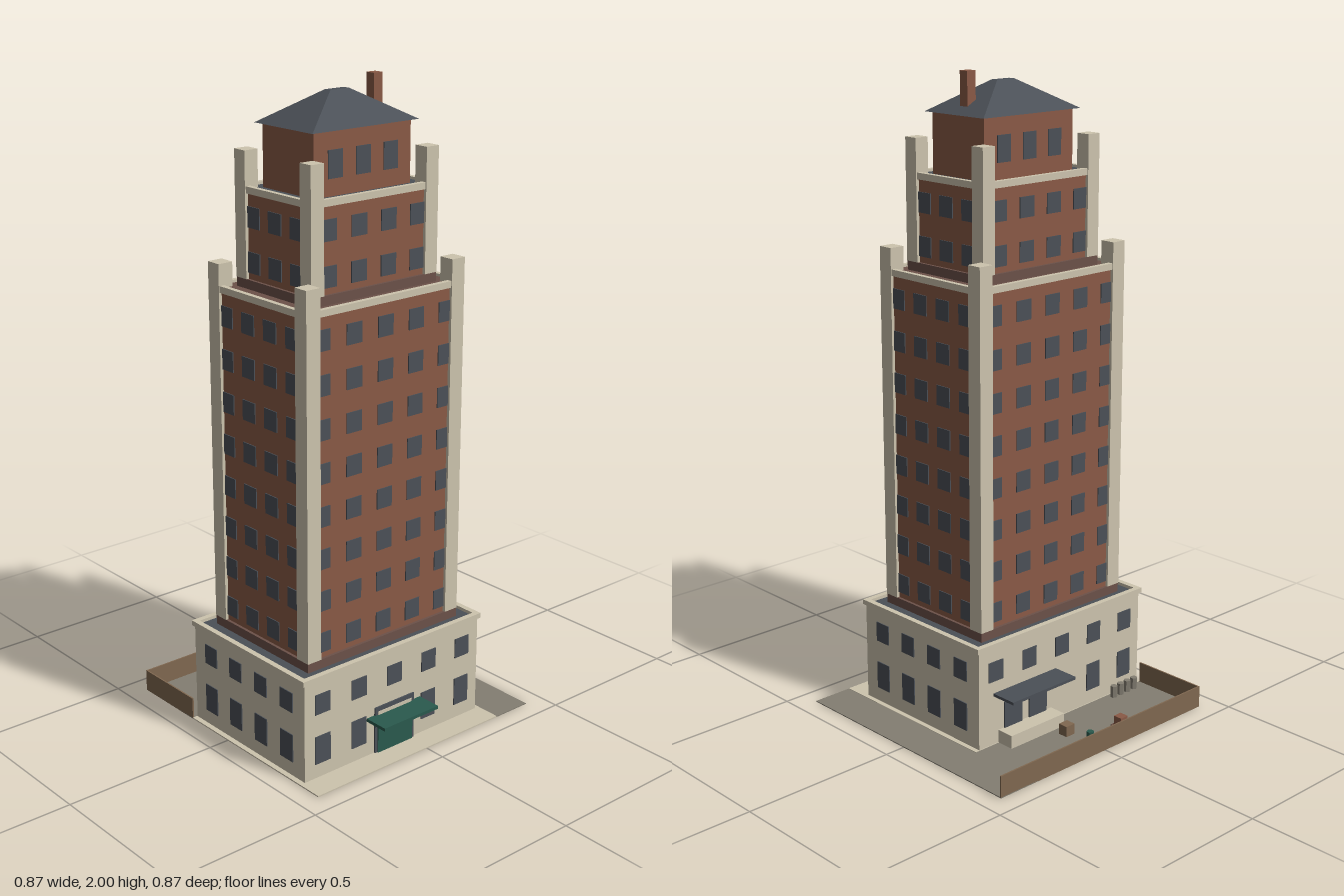
import * as THREE from 'three';

const mat = (name, color) => {
  const m = new THREE.MeshStandardMaterial({ color });
  m.name = name;
  return m;
};

export function createModel() {
  const brick = mat('brick', 0x8a5a46);
  const stone = mat('stone', 0xcdc4ae);
  const slate = mat('slate', 0x4b5057);
  const green = mat('green', 0x2a5a4e);
  const asphalt = mat('asphalt', 0x837e72);
  const wood = mat('wood', 0x806850);
  const darkBrick = mat('dark brick', 0x6c5149);

  const model = new THREE.Group();
  model.name = 'tower';
  const CX = -0.066, CZ = 0.087; // centre of the tower on the lot

  const add = (parent, name, geometry, material, x = 0, y = 0, z = 0) => {
    const m = new THREE.Mesh(geometry, material);
    m.name = name;
    m.position.set(x, y, z);
    parent.add(m);
    return m;
  };
  // box given by its minimum and maximum corners
  const span = (parent, name, material, x0, x1, y0, y1, z0, z1) =>
    add(parent, name, new THREE.BoxGeometry(x1 - x0, y1 - y0, z1 - z0), material,
      (x0 + x1) / 2, (y0 + y1) / 2, (z0 + z1) / 2);
  // box centred on the parent's axis, given by half widths
  const block = (parent, name, material, hx, hz, y0, y1) =>
    span(parent, name, material, -hx, hx, y0, y1, -hz, hz);
  const group = (name) => {
    const g = new THREE.Group();
    g.name = name;
    g.position.set(CX, 0, CZ);
    model.add(g);
    return g;
  };

  // rectangular stone ring around a roof edge
  const parapet = (parent, hx, hz, w, y0, y1) => {
    for (const s of [-1, 1]) {
      add(parent, 'parapet', new THREE.BoxGeometry(2 * hx, y1 - y0, w), stone, 0, (y0 + y1) / 2, s * (hz - w / 2));
      add(parent, 'parapet', new THREE.BoxGeometry(w, y1 - y0, 2 * (hz - w)), stone, s * (hx - w / 2), (y0 + y1) / 2, 0);
    }
  };
  // rows of window plates on one wall; side 0 front, 1 left, 2 back, 3 right
  const windows = (parent, side, dist, count, pitch, rows, w, h, skip = () => false) => {
    const wall = new THREE.Group();
    wall.name = 'windows';
    wall.rotation.y = side * Math.PI / 2;
    const pane = new THREE.BoxGeometry(w, h, 0.006);
    for (const y of rows)
      for (let i = 0; i < count; i++)
        if (!skip(i)) add(wall, 'window', pane, slate, (i - (count - 1) / 2) * pitch, y, dist);
    parent.add(wall);
  };

  // lot: yard, pavement and boundary wall
  span(model, 'yard', asphalt, 0.3, 0.433, 0, 0.003, -0.433, 0.433);
  span(model, 'yard', asphalt, -0.433, 0.3, 0, 0.003, -0.433, -0.18);
  span(model, 'pavement', stone, -0.433, 0.3, 0, 0.004, -0.18, 0.433);
  span(model, 'boundaryWall', wood, -0.433, 0.433, 0, 0.07, -0.433, -0.428);
  span(model, 'boundaryWall', wood, -0.433, -0.428, 0, 0.07, -0.428, -0.18);

  // stone base
  const base = group('base');
  const bx = 0.35, bz = 0.265;
  block(base, 'baseWalls', stone, bx, bz, 0.003, 0.322);
  block(base, 'baseRoof', slate, bx - 0.01, bz - 0.01, 0.32, 0.326);
  parapet(base, 0.358, 0.271, 0.018, 0.32, 0.336);
  for (const s of [0, 2]) {
    windows(base, s, bz, 5, 0.141, [0.244], 0.058, 0.064);
    windows(base, s, bz, 5, 0.141, [0.095], 0.058, 0.09, (i) => (s === 0 ? i === 2 : i < 3));
  }
  for (const s of [1, 3]) {
    windows(base, s, bx, 4, 0.122, [0.244], 0.058, 0.064);
    windows(base, s, bx, 4, 0.122, [0.095], 0.058, 0.09);
  }

  // front entrance
  const fz = CZ + bz;
  span(model, 'doorFrame', slate, CX - 0.079, CX + 0.079, 0.003, 0.155, fz, fz + 0.005);
  span(model, 'transom', stone, CX - 0.068, CX + 0.068, 0.13, 0.141, fz, fz + 0.007);
  span(model, 'door', green, CX - 0.07, CX + 0.07, 0.003, 0.128, fz, fz + 0.009);
  span(model, 'entranceCanopy', green, -0.175, 0.042, 0.12, 0.13, fz, 0.433);

  // loading dock at the back
  const rz = CZ - bz;
  span(model, 'dock', stone, -0.02, 0.205, 0.003, 0.045, -0.237, rz);
  span(model, 'dockCanopy', slate, -0.04, 0.225, 0.163, 0.172, -0.265, rz);
  for (const x of [0.04, 0.145])
    span(model, 'dockDoor', slate, x - 0.037, x + 0.037, 0.045, 0.13, rz - 0.005, rz);

  // yard clutter
  span(model, 'crate', wood, -0.005, 0.03, 0.003, 0.037, -0.297, -0.264);
  span(model, 'crate', darkBrick, -0.126, -0.082, 0.003, 0.037, -0.42, -0.377);
  span(model, 'crate', brick, -0.118, -0.088, 0.037, 0.067, -0.414, -0.384);
  span(model, 'crate', brick, -0.073, -0.036, 0.003, 0.037, -0.42, -0.385);
  const barrel = new THREE.CylinderGeometry(0.012, 0.012, 0.038, 6).toNonIndexed();
  barrel.computeVertexNormals();
  add(model, 'barrel', barrel, brick, -0.006, 0.022, -0.404);
  add(model, 'barrel', barrel, green, 0.002, 0.022, -0.371);
  for (let i = 0; i < 4; i++) add(model, 'bin', barrel, asphalt, -0.378 + i * 0.031, 0.022, -0.2);

  // brick tiers with stone corner piers
  const tier = (name, o) => {
    const g = group(name);
    const { hx, hz, pier } = o;
    const wx = hx - 0.01, wz = hz - 0.01;
    block(g, 'plinth', darkBrick, hx - 0.001, hz - 0.001, o.y0, o.y0 + 0.03);
    block(g, 'walls', brick, wx, wz, o.y0 + 0.03, o.y1 - 0.012);
    block(g, 'terrace', o.floor, wx - 0.004, wz - 0.004, o.y1 - 0.014, o.y1 - 0.008);
    parapet(g, hx - 0.003, hz - 0.003, 0.016, o.y1 - 0.02, o.y1);
    for (const sx of [-1, 1])
      for (const sz of [-1, 1])
        add(g, 'cornerPier', new THREE.BoxGeometry(pier, o.top - o.y0 - 0.03, pier), stone,
          sx * (hx - pier / 2), (o.top + o.y0 + 0.03) / 2, sz * (hz - pier / 2));
    for (const s of [0, 2]) windows(g, s, wz, o.nx, o.px, o.rows, 0.057, 0.062);
    for (const s of [1, 3]) windows(g, s, wx, o.nz, o.pz, o.rows, 0.057, 0.062);
  };
  tier('lowerTier', {
    hx: 0.3, hz: 0.222, pier: 0.05, y0: 0.325, y1: 1.41, top: 1.475, floor: darkBrick,
    nx: 5, px: 0.118, nz: 4, pz: 0.1, rows: Array.from({ length: 8 }, (_, i) => 0.404 + i * 0.131),
  });
  tier('upperTier', {
    hx: 0.238, hz: 0.169, pier: 0.047, y0: 1.4, y1: 1.7, top: 1.802, floor: slate,
    nx: 4, px: 0.111, nz: 3, pz: 0.097, rows: [1.48, 1.612],
  });

  // penthouse, hipped roof and chimney
  const pent = group('penthouse');
  block(pent, 'penthouseWalls', brick, 0.18, 0.112, 1.688, 1.877);
  for (const s of [0, 2]) windows(pent, s, 0.112, 3, 0.103, [1.782], 0.053, 0.08);
  const roof = new THREE.BoxGeometry(2, 0.09, 2);
  const p = roof.attributes.position;
  for (let i = 0; i < p.count; i++) {
    const top = p.getY(i) > 0;
    p.setX(i, p.getX(i) * (top ? 0.035 : 0.197));
    p.setZ(i, p.getZ(i) * (top ? 0.012 : 0.128));
  }
  roof.computeVertexNormals();
  add(pent, 'hippedRoof', roof, slate, 0, 1.921, 0);
  span(model, 'chimney', brick, 0.059, 0.092, 1.87, 2, 0.07, 0.102);

  return model;
}
